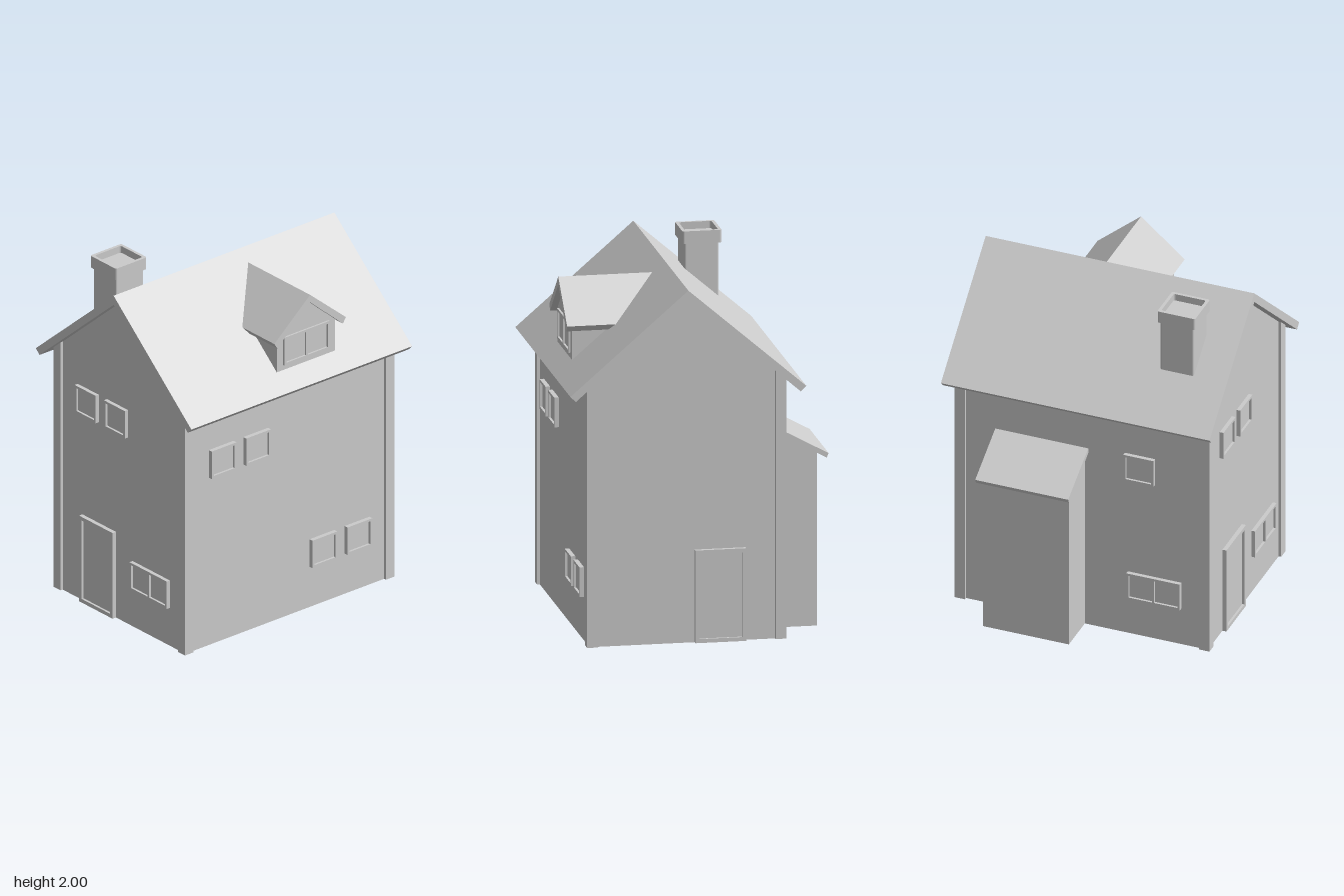
import * as THREE from 'three';

const grey = new THREE.MeshStandardMaterial({ color: 0xcccccc });

const CX = 0.0875;      // ridge line
const SLOPE = 0.865;    // main roof pitch
const underside = (x) => 1.915 - Math.abs(x - CX) * SLOPE;

function mesh(name, geometry, parent) {
  const m = new THREE.Mesh(geometry, grey);
  m.name = name;
  parent.add(m);
  return m;
}

// Outline in x/y pushed along z from z0 to z1
function prism(points, z0, z1) {
  const shape = new THREE.Shape(points.map(([x, y]) => new THREE.Vector2(x, y)));
  return new THREE.ExtrudeGeometry(shape, { depth: z1 - z0, bevelEnabled: false }).translate(0, 0, z0);
}

function box(x0, x1, y0, y1, z0, z1) {
  return new THREE.BoxGeometry(x1 - x0, y1 - y0, z1 - z0)
    .translate((x0 + x1) / 2, (y0 + y1) / 2, (z0 + z1) / 2);
}

// Inverted V: outer apex and tip, inner tip and apex
function chevron(c, apex, tip, innerTip, innerApex, z0, z1) {
  return prism([
    [c, apex], [c - tip[0], tip[1]], [c - innerTip[0], innerTip[1]],
    [c, innerApex], [c + innerTip[0], innerTip[1]], [c + tip[0], tip[1]],
  ], z0, z1);
}

function rectPath(Type, x0, x1, y0, y1) {
  return new Type([[x0, y0], [x1, y0], [x1, y1], [x0, y1]].map(([x, y]) => new THREE.Vector2(x, y)));
}

// Raised frame around one or more recessed panels, local z = outwards
function framed(name, w, h, panels, border, parent) {
  const g = new THREE.Group();
  g.name = name;
  const shape = rectPath(THREE.Shape, -w / 2, w / 2, -h / 2, h / 2);
  const pw = (w - border * (panels + 1)) / panels;
  for (let i = 0; i < panels; i++) {
    const x = -w / 2 + border + i * (pw + border);
    shape.holes.push(rectPath(THREE.Path, x, x + pw, -h / 2 + border, h / 2 - border));
  }
  mesh('frame', new THREE.ExtrudeGeometry(shape, { depth: 0.04, bevelEnabled: false }).translate(0, 0, -0.04), g);
  mesh('panel', box(-w / 2 + 0.005, w / 2 - 0.005, -h / 2 + 0.005, h / 2 - 0.005, -0.04, -0.013), g);
  parent.add(g);
  return g;
}

// Rounded rectangle in plan, pushed upwards, with an optional opening
function roundedColumn(w, d, r, y0, y1, hole) {
  const trace = (path, hw, hd, q) => {
    path.absarc(hw - q, hd - q, q, 0, Math.PI / 2);
    path.absarc(-hw + q, hd - q, q, Math.PI / 2, Math.PI);
    path.absarc(-hw + q, -hd + q, q, Math.PI, Math.PI * 1.5);
    path.absarc(hw - q, -hd + q, q, Math.PI * 1.5, Math.PI * 2);
    path.closePath();
    return path;
  };
  const shape = trace(new THREE.Shape(), w / 2, d / 2, r);
  if (hole) shape.holes.push(trace(new THREE.Path(), hole[0] / 2, hole[1] / 2, r));
  return new THREE.ExtrudeGeometry(shape, { depth: y1 - y0, bevelEnabled: false, curveSegments: 4 })
    .rotateX(-Math.PI / 2).translate(0, y0, 0);
}

export function createModel() {
  const house = new THREE.Group();
  house.name = 'house';

  // Main walls with gables
  const x0 = -0.445, x1 = 0.62;
  mesh('walls', prism([
    [x0, 0], [x1, 0], [x1, underside(x1) + 0.01], [CX, 1.925], [x0, underside(x0) + 0.01],
  ], -0.725, 0.725), house);

  // Corner posts, cut to the roof pitch
  for (const [a, b] of [[-0.46, -0.4], [0.575, 0.635]]) {
    for (const z of [-0.74, 0.68]) {
      mesh('cornerPost', prism([
        [a, 0], [b, 0], [b, underside(b) + 0.01], [a, underside(a) + 0.01],
      ], z, z + 0.06), house);
    }
  }

  // Main roof
  mesh('roof', chevron(CX, 1.97, [0.6475, 1.41], [0.6175, 1.38], 1.915, -0.78, 0.78), house);

  // Side annex with lean-to roof
  mesh('annexWalls', prism([
    [-0.675, 0], [-0.44, 0], [-0.44, 1.105], [-0.675, 0.977],
  ], -0.49, 0.01), house);
  mesh('annexRoof', prism([
    [-0.735, 0.96], [-0.724, 0.936], [-0.44, 1.091], [-0.44, 1.121],
  ], -0.51, 0.03), house);

  // Chimney
  const chimney = new THREE.Group();
  chimney.name = 'chimney';
  chimney.position.set(-0.213, 0, 0.49);
  mesh('chimneyShaft', roundedColumn(0.19, 0.196, 0.01, 1.5, 1.96), chimney);
  mesh('chimneyCap', roundedColumn(0.215, 0.22, 0.012, 1.93, 2, [0.18, 0.185]), chimney);
  house.add(chimney);

  // Dormer, built facing +z then turned to face +x
  const dormer = new THREE.Group();
  dormer.name = 'dormer';
  dormer.rotation.y = Math.PI / 2;
  dormer.position.z = -0.1125;
  mesh('dormerWalls', prism([
    [-0.205, 1.475], [0.205, 1.475], [0.205, 1.695], [0, 1.872], [-0.205, 1.695],
  ], 0.25, 0.636), dormer);
  mesh('dormerRoof', chevron(0, 1.91, [0.253, 1.695], [0.232, 1.663], 1.865, 0.14, 0.672), dormer);
  framed('dormerWindow', 0.32, 0.168, 2, 0.014, dormer).position.set(0, 1.609, 0.647);
  house.add(dormer);

  // Doors, front and back
  for (const s of [1, -1]) {
    const door = framed('door', 0.28, 0.515, 1, 0.022, house);
    door.position.set(-0.097, 0.2575, s * 0.749);
    if (s < 0) door.rotation.y = Math.PI;
  }

  // Windows: [side, centre along wall, centre height, width, panes]
  const windows = [
    ['front', -0.188, 1.203, 0.175, 1], ['front', 0.055, 1.203, 0.175, 1],
    ['front', 0.336, 0.31, 0.31, 2],
    ['right', 0.472, 1.09, 0.175, 1], ['right', 0.228, 1.09, 0.175, 1],
    ['right', -0.24, 0.325, 0.175, 1], ['right', -0.487, 0.325, 0.175, 1],
    ['left', 0.33, 1.058, 0.175, 1], ['left', 0.415, 0.308, 0.31, 2],
  ];
  for (const [side, along, y, w, panes] of windows) {
    const win = framed('window', w, 0.165, panes, 0.014, house);
    if (side === 'front') {
      win.position.set(along, y, 0.747);
    } else {
      const s = side === 'right' ? 1 : -1;
      win.position.set(s > 0 ? 0.645 : -0.468, y, along);
      win.rotation.y = s * Math.PI / 2;
    }
  }

  return house;
}
